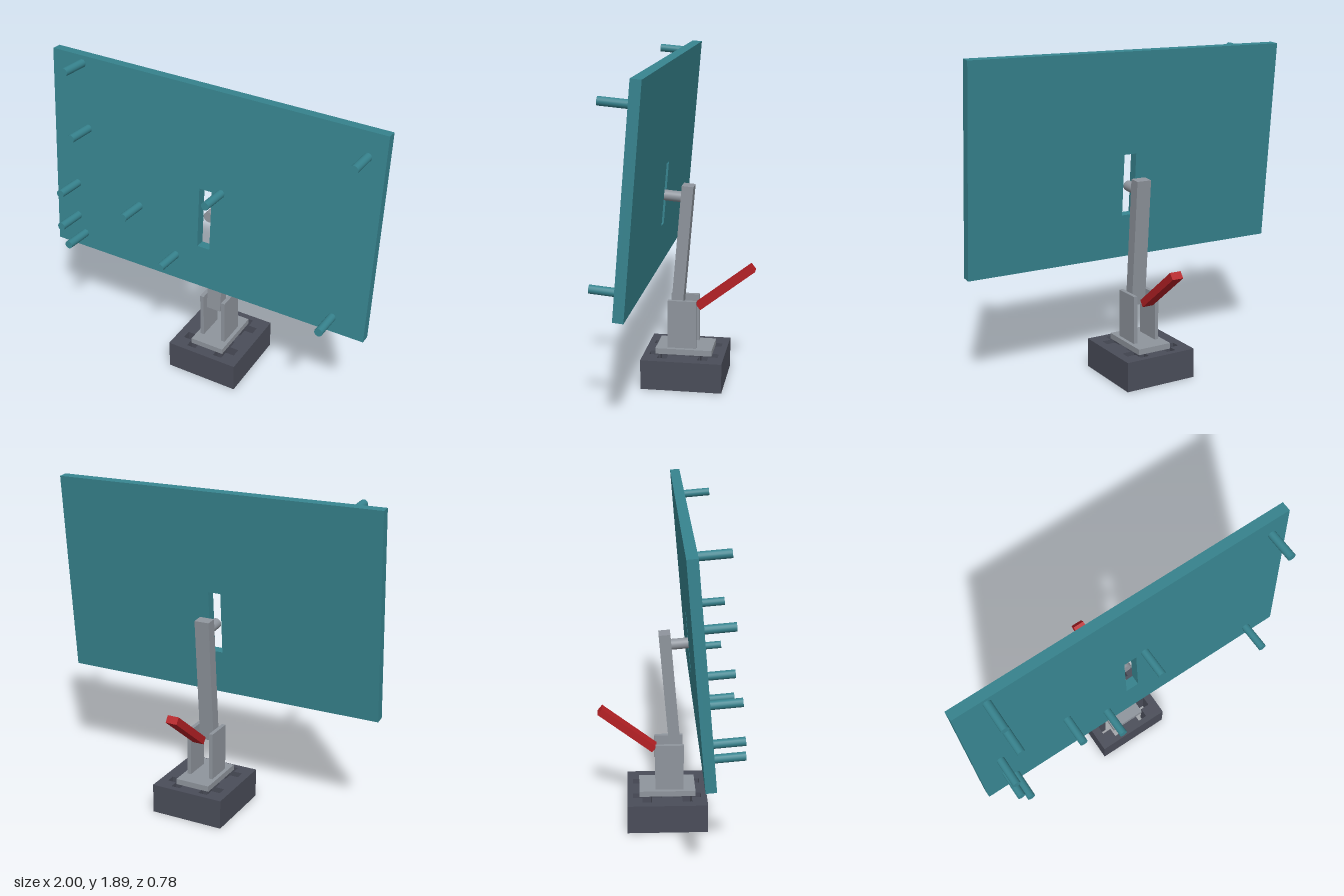
import * as THREE from 'three';

const TILT = -0.087; // lean of the board, arm and rod

function material(name, color) {
  const m = new THREE.MeshStandardMaterial({ color });
  m.name = name;
  return m;
}

function rectPath(PathType, w, h, cx = 0, cy = 0) {
  const p = new PathType();
  p.moveTo(cx - w / 2, cy - h / 2);
  p.lineTo(cx + w / 2, cy - h / 2);
  p.lineTo(cx + w / 2, cy + h / 2);
  p.lineTo(cx - w / 2, cy + h / 2);
  p.closePath();
  return p;
}

// Plus-shaped opening: r is the arm reach, a the half width of an arm
function plusPath(cx, cy, r, a) {
  const pts = [[a, r], [a, a], [r, a], [r, -a], [a, -a], [a, -r],
    [-a, -r], [-a, -a], [-r, -a], [-r, a], [-a, a], [-a, r]];
  return new THREE.Path(pts.map(([x, y]) => new THREE.Vector2(cx + x, cy + y)));
}

export function createModel() {
  const teal = material('teal', 0x37848f);
  const grey = material('grey', 0x8f959d);
  const dark = material('charcoal', 0x4a4d59);
  const red = material('red', 0xb52025);

  const model = new THREE.Group();
  const add = (parent, name, geometry, mat, x, y, z) => {
    const mesh = new THREE.Mesh(geometry, mat);
    mesh.name = name;
    mesh.position.set(x, y, z);
    parent.add(mesh);
    return mesh;
  };

  // Base block with four plus-shaped through holes
  const baseShape = rectPath(THREE.Shape, 0.446, 0.47);
  for (const sx of [-1, 1]) {
    for (const sz of [-1, 1]) {
      baseShape.holes.push(plusPath(sx * 0.09, sz * 0.1175, 0.083, 0.028));
    }
  }
  const baseGeometry = new THREE.ExtrudeGeometry(baseShape, { depth: 0.176, bevelEnabled: false });
  baseGeometry.rotateX(-Math.PI / 2);
  add(model, 'base', baseGeometry, dark, 0, 0, 0.0125);

  // Foot plate and the two upright cheeks
  add(model, 'footPlate', new THREE.BoxGeometry(0.212, 0.034, 0.33), grey, 0, 0.193, 0.015);
  for (const s of [-1, 1]) {
    add(model, s > 0 ? 'leftCheek' : 'rightCheek',
      new THREE.BoxGeometry(0.023, 0.287, 0.166), grey, s * 0.0715, 0.3525, 0.0275);
  }

  // Leaning arm and the rod that reaches into the board's slot
  const arm = add(model, 'arm', new THREE.BoxGeometry(0.09, 0.754, 0.067), grey, 0, 0.791, 0.032);
  arm.rotation.x = TILT;
  const rodGeometry = new THREE.CylinderGeometry(0.031, 0.031, 0.125, 32);
  rodGeometry.rotateX(Math.PI / 2);
  const rod = add(model, 'rod', rodGeometry, grey, 0, 1.1, 0.085);
  rod.rotation.x = TILT;

  // Lever rising to the back
  const lever = add(model, 'lever', new THREE.BoxGeometry(0.069, 0.044, 0.4), red, 0, 0.572, -0.218);
  lever.rotation.x = 0.661;

  // Leaning board with a central slot
  const board = new THREE.Group();
  board.name = 'board';
  board.position.set(0, 1.283, 0.149);
  board.rotation.x = TILT;
  model.add(board);

  const thickness = 0.058;
  const boardShape = rectPath(THREE.Shape, 2, 1.215);
  boardShape.holes.push(rectPath(THREE.Path, 0.078, 0.365, 0, -0.169));
  const panel = new THREE.ExtrudeGeometry(boardShape, { depth: thickness, bevelEnabled: false });
  add(board, 'panel', panel, teal, 0, 0, -thickness / 2);

  // Pegs standing out of the board's front, as [x, height along the board]
  const pegLength = 0.17;
  const pegGeometry = new THREE.CylinderGeometry(0.0235, 0.0235, pegLength, 16);
  pegGeometry.rotateX(Math.PI / 2);
  const pegs = [
    [-0.807, 0.562], [0.9, 0.47], [-0.773, 0.177], [0.094, 0.021], [-0.856, -0.193],
    [-0.428, -0.215], [-0.856, -0.408], [-0.18, -0.457], [-0.807, -0.516], [0.807, -0.516],
  ];
  pegs.forEach(([x, y], i) => {
    add(board, `peg${i + 1}`, pegGeometry, teal, x, y, thickness / 2 + pegLength / 2);
  });

  return model;
}
